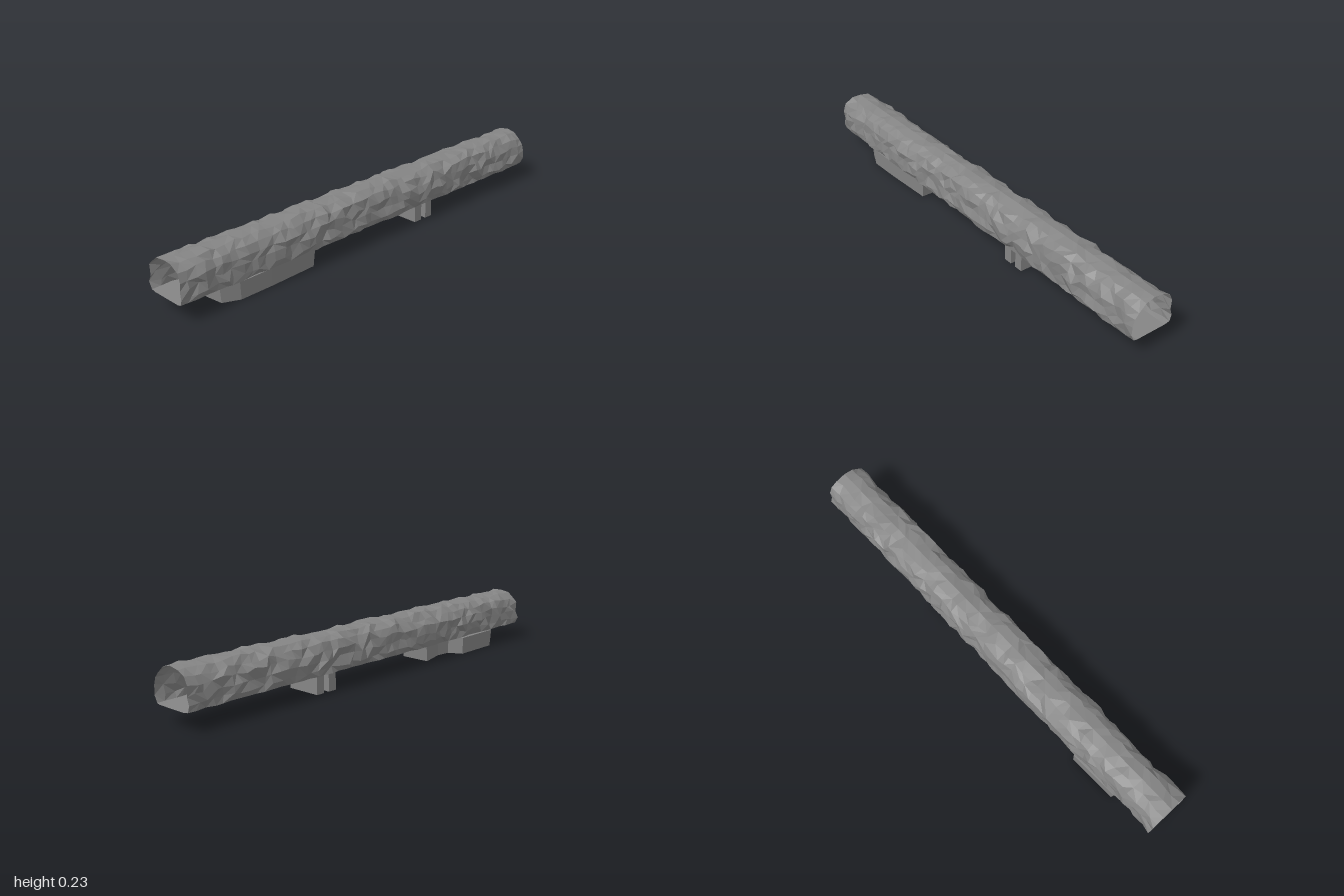
import * as THREE from 'three';

const material = new THREE.MeshStandardMaterial({ color: 0x858585, flatShading: true, side: THREE.DoubleSide });

// Small seeded generator, returns -1..1
function seeded(seed) {
  let s = seed;
  return () => {
    s = (s * 16807) % 2147483647;
    return (s / 2147483647) * 2 - 1;
  };
}

function facetedMesh(name, positions, index) {
  let geometry = new THREE.BufferGeometry();
  geometry.setAttribute('position', new THREE.Float32BufferAttribute(positions, 3));
  geometry.setIndex(index);
  geometry = geometry.toNonIndexed();
  geometry.computeVertexNormals();
  const mesh = new THREE.Mesh(geometry, material);
  mesh.name = name;
  return mesh;
}

// Join rows of equal length into a sheet, flipping diagonals at random
function sheetIndex(rows, cols, random) {
  const index = [];
  for (let i = 0; i < rows - 1; i++) {
    for (let j = 0; j < cols - 1; j++) {
      const a = i * cols + j, b = a + 1, c = a + cols, d = c + 1;
      if (random() > 0) index.push(a, c, b, b, c, d);
      else index.push(a, c, d, a, d, b);
    }
  }
  return index;
}

// Half of the arch section, from the floor edge to the crown
const half = [[0.091, 0.079], [0.096, 0.105], [0.095, 0.14], [0.09, 0.173], [0.074, 0.203], [0.043, 0.224]];
const arch = [...half, [0, 0.232], ...half.slice().reverse().map(([x, y]) => [-x, y])];

// Rough rock vault, open at both ends
function createVault() {
  const random = seeded(4711);
  const rows = 51, cols = arch.length, positions = [];
  for (let i = 0; i < rows; i++) {
    const z = -1 + (2 * i) / (rows - 1);
    const inner = i > 0 && i < rows - 1;
    arch.forEach(([x, y], j) => {
      const edge = j === 0 || j === cols - 1;
      const crown = j === (cols - 1) / 2;
      // The rock is roughest on the walls and calm towards the crown
      const push = random() * (crown ? 0.001 : edge || y > 0.22 ? 0.006 : 0.0095);
      const slide = edge || crown ? 0 : random() * 0.006;
      const direction = new THREE.Vector2(x, y - 0.13).normalize();
      positions.push(
        x + (edge ? Math.sign(x) * push : direction.x * push - direction.y * slide),
        Math.min(0.233, y + (edge ? 0 : direction.y * push + direction.x * slide)),
        z + (inner ? random() * 0.012 : 0)
      );
    });
  }
  return { mesh: facetedMesh('rockVault', positions, sheetIndex(rows, cols, random)), positions, rows, cols };
}

// Floor whose outer edges follow the foot of the vault
function createFloor({ positions, rows, cols }) {
  const points = [];
  for (let i = 0; i < rows; i++) {
    const start = i * cols * 3, end = ((i + 1) * cols - 1) * 3;
    const right = positions.slice(start, start + 3), left = positions.slice(end, end + 3);
    points.push(...left, -0.07, 0.075, left[2], 0.07, 0.075, right[2], ...right);
  }
  return facetedMesh('floor', points, sheetIndex(rows, 4, () => 1));
}

// Sunken block with a notched side, slightly wider at its top
function createFoundation() {
  const outline = [
    [-0.09, 0.79], [-0.025, 0.81], [0.057, 0.8], [0.088, 0.73], [0.086, 0.58], [0.076, 0.353],
    [-0.062, 0.353], [-0.03, 0.47], [-0.035, 0.54], [-0.095, 0.57]
  ];
  const n = outline.length, positions = [], index = [];
  for (const [y, grow] of [[0, 1], [0.076, 1.035]]) {
    for (const [x, z] of outline) positions.push(x * grow, y, 0.58 + (z - 0.58) * grow);
  }
  for (let i = 0; i < n; i++) {
    const k = (i + 1) % n;
    index.push(i, k, n + i, k, n + k, n + i);
  }
  const faces = THREE.ShapeUtils.triangulateShape(outline.map(([x, z]) => new THREE.Vector2(x, z)), []);
  for (const [a, b, c] of faces) index.push(a, b, c, n + a, n + c, n + b);
  return facetedMesh('foundationBlock', positions, index);
}

export function createModel() {
  const group = new THREE.Group();
  group.name = 'tunnel';
  const vault = createVault();
  group.add(vault.mesh, createFloor(vault), createFoundation());

  // Two cross walls under the floor
  for (const [z, depth] of [[-0.27, 0.04], [-0.337, 0.038]]) {
    const wall = new THREE.Mesh(new THREE.BoxGeometry(0.155, 0.076, depth), material);
    wall.position.set(0, 0.038, z);
    wall.name = 'crossWall';
    group.add(wall);
  }
  return group;
}
